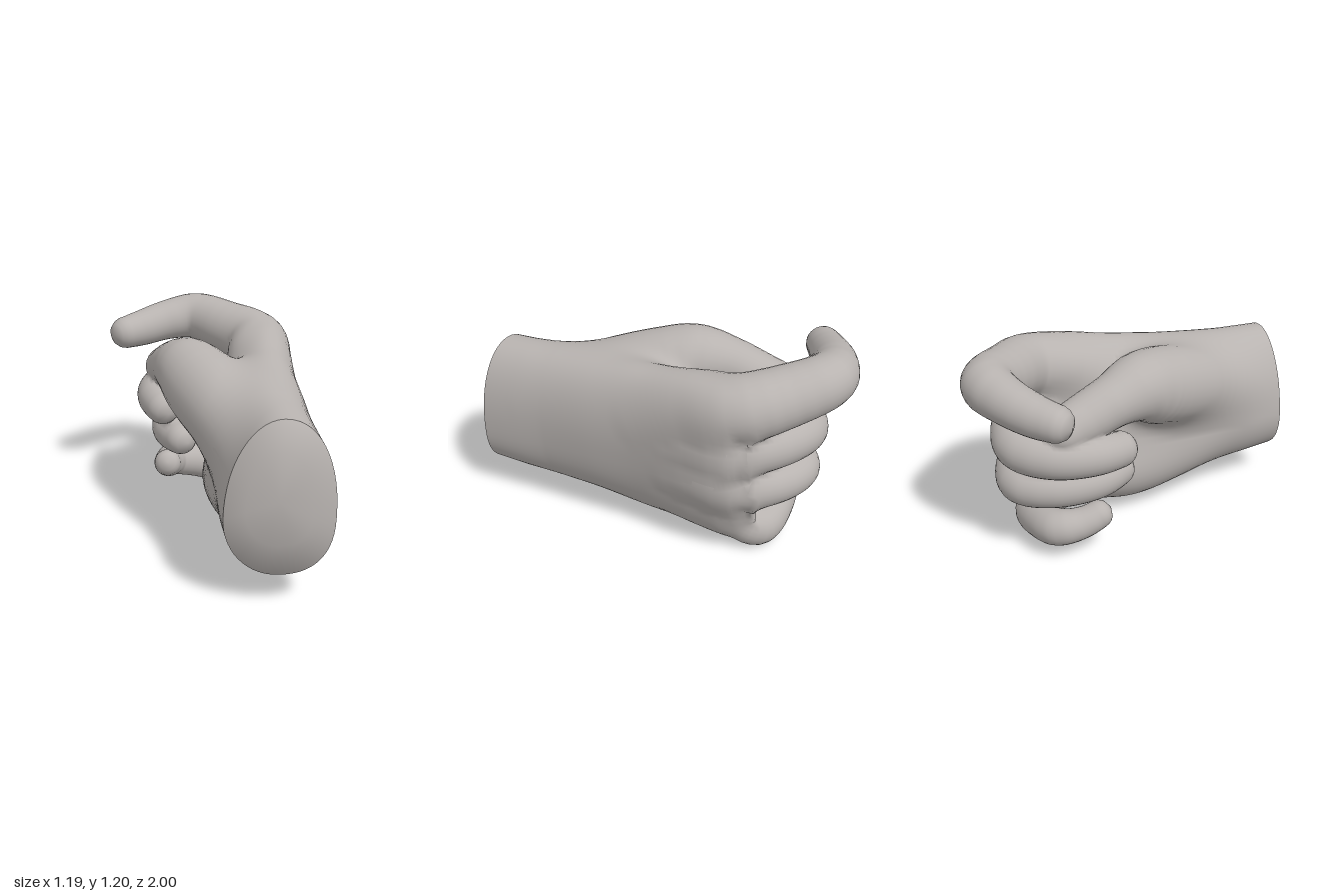
import * as THREE from 'three';

const V = (x = 0, y = 0, z = 0) => new THREE.Vector3(x, y, z);
const { clamp, lerp } = THREE.MathUtils;
const uniform = (pts) => new THREE.CatmullRomCurve3(pts, false, 'catmullrom', 0.5);

// Palm and wrist cross-sections: [z, centre x, half width, lean, widest y, height above, height below]
const SECTIONS = [
  [0.985, 0.315, 0.275, 0.03, 0.48, 0.5, 0.3],
  [0.8, 0.297, 0.274, 0.04, 0.5, 0.489, 0.335],
  [0.6, 0.28, 0.267, 0.06, 0.54, 0.46, 0.39],
  [0.3, 0.26, 0.268, 0.1, 0.57, 0.46, 0.44],
  [0, 0.255, 0.24, 0.14, 0.58, 0.485, 0.485],
  [-0.28, 0.285, 0.195, 0.15, 0.59, 0.485, 0.48],
  [-0.45, 0.305, 0.165, 0.16, 0.595, 0.46, 0.46],
  [-0.55, 0.312, 0.125, 0.16, 0.61, 0.42, 0.42],
  [-0.62, 0.31, 0.05, 0.15, 0.62, 0.36, 0.36],
];
const Z_END = -0.62;
const SIDES = 56;
const widths = uniform(SECTIONS.map((s) => V(s[1], s[2], s[3])));
const heights = uniform(SECTIONS.map((s) => V(s[4], s[5], s[6])));

function profile(z) {
  const last = SECTIONS.length - 1;
  let i = 0;
  while (i < last - 1 && z < SECTIONS[i + 1][0]) i++;
  const f = clamp((SECTIONS[i][0] - z) / (SECTIONS[i][0] - SECTIONS[i + 1][0]), 0, 1);
  const { x: cx, y: rx, z: lean } = widths.getPoint((i + f) / last);
  const { x: cy, y: up, z: down } = heights.getPoint((i + f) / last);
  return { cx, rx, lean, cy, up, down };
}

// The back of the hand is squarer than the inside
const roundness = (x, y) => (x < 0 ? 1 : y > 0 ? 0.93 : 0.82);

// Approximate signed distance to the palm
function palmDistance(p) {
  const s = profile(p.z);
  const dy = p.y - s.cy;
  const q = (p.x - s.cx - s.lean * dy) / s.rx;
  const e = roundness(q, dy);
  const k = (Math.abs(q) ** (2 / e) + Math.abs(dy / (dy > 0 ? s.up : s.down)) ** (2 / e)) ** (e / 2);
  const d = k < 0.05 ? -s.rx : Math.hypot(p.x - s.cx, dy) * (1 - 1 / k);
  return Math.max(d, Z_END - p.z);
}

// Centre lines from inside the palm to the tip: [x, y, z, radius], after the blend width at the base
const DIGITS = {
  thumb: [0.14, [
    [0.27, 0.66, 0.78, 0.17], [0.2, 0.72, 0.58, 0.21], [0.085, 0.8, 0.34, 0.225], [-0.025, 0.87, 0.12, 0.222],
    [-0.11, 0.925, -0.03, 0.19], [-0.18, 0.91, -0.2, 0.15], [-0.225, 0.85, -0.4, 0.135], [-0.275, 0.785, -0.63, 0.115],
  ]],
  indexFinger: [0.11, [
    [0.29, 0.79, 0.0, 0.16], [0.3, 0.915, -0.28, 0.178], [0.307, 0.97, -0.53, 0.181], [0.14, 1.015, -0.715, 0.165],
    [-0.06, 1.06, -0.855, 0.145], [-0.24, 1.045, -0.81, 0.125], [-0.41, 1.015, -0.705, 0.11], [-0.57, 1.0, -0.575, 0.088],
  ]],
  middleFinger: [0.1, [
    [0.31, 0.7, -0.2, 0.12], [0.32, 0.72, -0.4, 0.14], [0.285, 0.72, -0.56, 0.142], [0.06, 0.705, -0.71, 0.128],
    [-0.12, 0.69, -0.725, 0.125], [-0.27, 0.68, -0.58, 0.12], [-0.31, 0.67, -0.36, 0.113], [-0.23, 0.635, -0.12, 0.095],
  ]],
  ringFinger: [0.1, [
    [0.3, 0.5, -0.2, 0.12], [0.31, 0.495, -0.4, 0.14], [0.275, 0.48, -0.56, 0.135], [0.08, 0.455, -0.705, 0.118],
    [-0.09, 0.45, -0.72, 0.116], [-0.21, 0.455, -0.56, 0.112], [-0.22, 0.46, -0.32, 0.108], [-0.12, 0.46, -0.1, 0.088],
  ]],
  littleFinger: [0.1, [
    [0.23, 0.3, -0.08, 0.13], [0.215, 0.245, -0.34, 0.14], [0.175, 0.17, -0.5, 0.13], [0.13, 0.128, -0.585, 0.126],
    [-0.05, 0.155, -0.6, 0.112], [-0.2, 0.185, -0.55, 0.105], [-0.24, 0.21, -0.42, 0.09], [-0.245, 0.275, -0.26, 0.075],
  ]],
  palmHeel: [0.14, [
    [0.22, 0.42, 0.6, 0.1], [0.17, 0.34, 0.3, 0.15], [0.145, 0.29, 0.0, 0.165], [0.135, 0.29, -0.36, 0.12],
  ]],
};

// Prepare each digit: its curve, its radius along the length, and beads for measuring distance
const digits = Object.entries(DIGITS).map(([name, [blend, points]]) => {
  const path = new THREE.CatmullRomCurve3(points.map(([x, y, z]) => V(x, y, z)));
  const radii = uniform(points.map((p) => V(p[3])));
  const radius = (u) => radii.getPoint(path.getUtoTmapping(u)).x;
  const tip = (points.at(-1)[3] * 1.05) / path.getLength();
  const beads = [];
  for (let i = 0; i <= 44; i++) {
    const u = (i / 44) * (1 - tip);
    beads.push({ c: path.getPointAt(u), r: radius(u) });
  }
  return { name, blend, path, radius, tip, beads };
});

// Signed distance to a digit, as a chain of tapered capsules
function digitDistance({ beads }, p) {
  let best = Infinity;
  for (let i = 0; i < beads.length - 1; i++) {
    const a = beads[i], b = beads[i + 1];
    const ex = b.c.x - a.c.x, ey = b.c.y - a.c.y, ez = b.c.z - a.c.z;
    const px = p.x - a.c.x, py = p.y - a.c.y, pz = p.z - a.c.z;
    const h = Math.min(1, Math.max(0, (px * ex + py * ey + pz * ez) / (ex * ex + ey * ey + ez * ez)));
    const d = Math.sqrt((px - ex * h) ** 2 + (py - ey * h) ** 2 + (pz - ez * h) ** 2);
    best = Math.min(best, d - a.r - (b.r - a.r) * h);
  }
  return best;
}

// The whole hand: every digit flows softly into the palm
function handDistance(p) {
  const palm = palmDistance(p);
  return Math.min(palm, ...digits.map((digit) => {
    const d = digitDistance(digit, p);
    const h = Math.max(digit.blend - Math.abs(palm - d), 0) / digit.blend;
    return Math.min(palm, d) - (h * h * digit.blend) / 4;
  }));
}

function gradient(p, e) {
  const slope = (x, y, z) => handDistance(V(p.x + x, p.y + y, p.z + z)) - handDistance(V(p.x - x, p.y - y, p.z - z));
  return V(slope(e, 0, 0), slope(0, e, 0), slope(0, 0, e)).divideScalar(2 * e);
}

// Drop faces buried in other parts and settle the rest on the blended skin
function blendSkin(geo, buried) {
  const pos = geo.attributes.position;
  const normals = [];
  const hidden = [];
  for (let i = 0; i < pos.count; i++) {
    const p = V().fromBufferAttribute(pos, i);
    hidden.push(buried(p));
    for (let step = 0; step < 5; step++) {
      const f = handDistance(p);
      if (Math.abs(f) < 0.0004) break;
      const g = gradient(p, 0.003);
      p.addScaledVector(g.clone().normalize(), -clamp(f / Math.max(g.length(), 0.3), -0.04, 0.04));
    }
    pos.setXYZ(i, p.x, p.y, p.z);
    normals.push(...gradient(p, 0.016).normalize());
  }
  const index = [];
  for (let i = 0; i < geo.index.count; i += 3) {
    const tri = [0, 1, 2].map((j) => geo.index.getX(i + j));
    if (!tri.every((v) => hidden[v])) index.push(...tri);
  }
  geo.setIndex(index);
  geo.setAttribute('normal', new THREE.Float32BufferAttribute(normals, 3));
  return geo;
}

// Tapered tube with a rounded tip
function digitGeometry(digit) {
  const segs = 64, sides = 28;
  const geo = new THREE.TubeGeometry(digit.path, segs, 1, sides);
  const pos = geo.attributes.position;
  for (let k = 0; k < pos.count; k++) {
    const u = Math.floor(k / (sides + 1)) / segs;
    const c = digit.path.getPointAt(u);
    const round = Math.max(0, 1 - (1 - u) / digit.tip);
    const r = digit.radius(u) * Math.max(0.01, Math.sqrt(1 - round * round));
    pos.setXYZ(k, ...V().fromBufferAttribute(pos, k).sub(c).multiplyScalar(r).add(c));
  }
  return blendSkin(geo, (p) => palmDistance(p) < -0.02
    || digits.some((other) => other !== digit && digitDistance(other, p) < -0.02));
}

// Rings of points joined into a skin, facing outwards
function loft(rings, positions) {
  const index = [];
  for (let k = 0; k < (rings - 1) * SIDES; k++) {
    const n = k % SIDES === SIDES - 1 ? k + 1 - SIDES : k + 1;
    index.push(k, k + SIDES, n, n, k + SIDES, n + SIDES);
  }
  const geo = new THREE.BufferGeometry();
  geo.setAttribute('position', new THREE.Float32BufferAttribute(positions, 3));
  return geo.setIndex(index);
}

// Lofted palm, closed at the knuckles, with the slanted end of the wrist
function palmGeometry() {
  const rows = 72;
  const positions = [];
  for (let k = 0; k < (rows + 2) * SIDES; k++) {
    const j = Math.floor(k / SIDES);
    const z = lerp(SECTIONS[0][0], Z_END, Math.min(1, j / rows));
    const s = profile(z);
    const angle = ((k % SIDES) / SIDES) * Math.PI * 2;
    const c = Math.cos(angle), n = Math.sin(angle);
    const bulge = (v) => (j > rows ? 0.02 : 1) * Math.sign(v) * Math.abs(v) ** roundness(c, n);
    const dy = (n > 0 ? s.up : s.down) * bulge(n);
    positions.push(s.cx + s.rx * bulge(c) + s.lean * dy, s.cy + dy, z);
  }
  const geo = blendSkin(loft(rows + 2, positions), (p) => digits.some((digit) => digitDistance(digit, p) < -0.02));
  const pos = geo.attributes.position;
  for (let i = 0; i < pos.count; i++) {
    const ramp = clamp((pos.getZ(i) - 0.7) / 0.285, 0, 1);
    pos.setZ(i, pos.getZ(i) - 0.035 * (pos.getY(i) - 0.58) * ramp);
  }
  return geo;
}

// Closed end of the wrist, softly shaded towards its rim
function wristCapGeometry({ attributes: rim }) {
  const centre = V(0.315, 0.56, 0.985);
  const positions = [], normals = [];
  for (const t of [0, 0.6, 1]) {
    for (let i = 0; i < SIDES; i++) {
      positions.push(...V().fromBufferAttribute(rim.position, i).sub(centre).multiplyScalar(t).add(centre));
      normals.push(...V().fromBufferAttribute(rim.normal, i).multiplyScalar(0.7 * t * t).add(V(0, 0, 1)).normalize());
    }
  }
  return loft(3, positions).setAttribute('normal', new THREE.Float32BufferAttribute(normals, 3));
}

export function createModel() {
  const hand = new THREE.Group();
  hand.name = 'hand';
  const skin = new THREE.MeshStandardMaterial({ color: 0xb8b3b0 });
  skin.name = 'warm grey';
  const add = (name, geo) => {
    const mesh = new THREE.Mesh(geo, skin);
    mesh.name = name;
    hand.add(mesh);
  };
  const palm = palmGeometry();
  add('palm', palm);
  add('wristCap', wristCapGeometry(palm));
  for (const digit of digits) add(digit.name, digitGeometry(digit));
  return hand;
}
